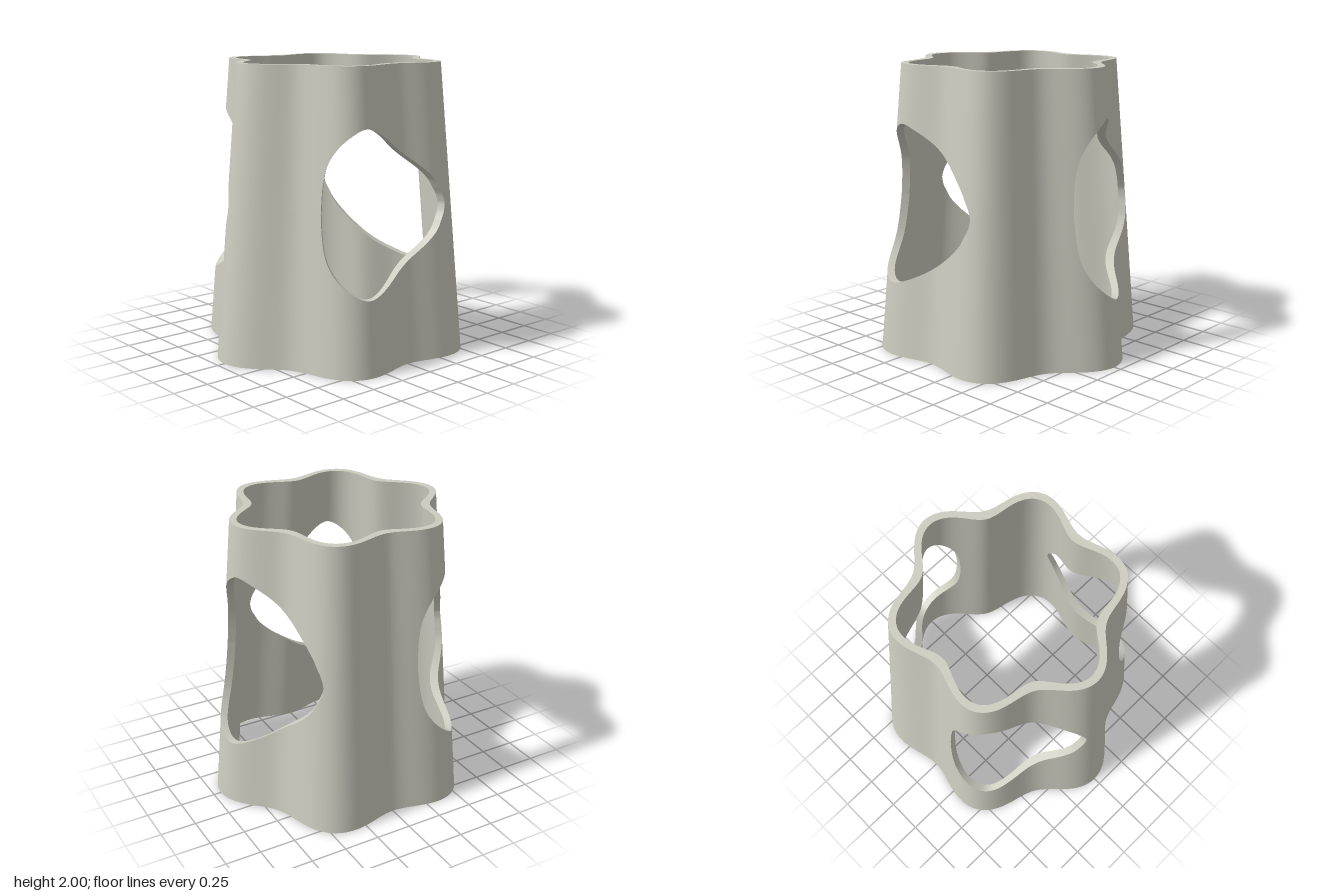
import * as THREE from 'three';
import { toCreasedNormals } from 'three/addons/utils/BufferGeometryUtils.js';

const HEIGHT = 2;
const HOLE_MID = 1.055;
const rad = THREE.MathUtils.degToRad;

// Point on the six-lobed, upward-tapering wall (angle in degrees from +x toward +z)
function wallPoint(deg, y, inner) {
  const a = rad(deg), t = y / HEIGHT, wave = Math.cos(6 * a);
  let r = THREE.MathUtils.lerp(0.871, 0.697, t) + THREE.MathUtils.lerp(0.076, 0.07, t) * wave;
  if (inner) r += -0.055 + 0.005 * wave;
  return [r * Math.cos(a), y, r * Math.sin(a)];
}

// Half-height of a window against angle, rounded at one end and pointed at the other
const windowOutline = new THREE.SplineCurve([
  [65.3, 0], [66.2, 0.06], [68, 0.115], [71.5, 0.205], [78.7, 0.31], [91.6, 0.44], [104.2, 0.55],
  [113.4, 0.605], [120, 0.57], [127.2, 0.475], [132.4, 0.345], [134.7, 0.19], [135.5, 0],
].map(([d, h]) => new THREE.Vector2(d, h)));

const windows = [
  { turn: -120, scale: 1 },
  { turn: 0, scale: 0.905 },
  { turn: 120, scale: 0.97 },
];

function buildWall() {
  const positions = [];
  const quad = (a, b, c, d) => positions.push(...a, ...b, ...c, ...a, ...c, ...d);

  // One block of wall between two columns; each column is [angle, bottom, top]
  function block([a, a0, a1], [b, b0, b1], capTop, capBottom) {
    const oA0 = wallPoint(a, a0, false), oA1 = wallPoint(a, a1, false);
    const oB0 = wallPoint(b, b0, false), oB1 = wallPoint(b, b1, false);
    const iA0 = wallPoint(a, a0, true), iA1 = wallPoint(a, a1, true);
    const iB0 = wallPoint(b, b0, true), iB1 = wallPoint(b, b1, true);
    quad(oA0, oA1, oB1, oB0);
    quad(iA0, iB0, iB1, iA1);
    if (capTop) quad(iA1, iB1, oB1, oA1);
    if (capBottom) quad(oA0, oB0, iB0, iA0);
  }

  // Wall above and below an opening of the given half-heights (zero = solid wall)
  function strip(a, ha, b, hb) {
    const open = ha > 0 || hb > 0;
    block([a, 0, HOLE_MID - ha], [b, 0, HOLE_MID - hb], open, true);
    block([a, HOLE_MID + ha, HEIGHT], [b, HOLE_MID + hb, HEIGHT], true, open);
  }

  const steps = 96, solidSteps = 40;
  for (const { turn, scale } of windows) {
    const columns = windowOutline.getPoints(steps)
      .map((p) => [p.x + turn, Math.max(0, p.y) * scale]);
    for (let i = 0; i < steps; i++) strip(...columns[i], ...columns[i + 1]);
    // Solid stretch up to the next window
    const start = columns[steps][0], end = columns[0][0] + 120;
    for (let i = 0; i < solidSteps; i++) {
      strip(THREE.MathUtils.lerp(start, end, i / solidSteps), 0,
        THREE.MathUtils.lerp(start, end, (i + 1) / solidSteps), 0);
    }
  }

  const geometry = new THREE.BufferGeometry();
  geometry.setAttribute('position', new THREE.Float32BufferAttribute(positions, 3));
  return toCreasedNormals(geometry, 0.6);
}

export function createModel() {
  const group = new THREE.Group();
  group.name = 'flutedSleeve';
  const stone = new THREE.MeshStandardMaterial({ color: 0xccccc0 });
  stone.name = 'paleStone';
  const wall = new THREE.Mesh(buildWall(), stone);
  wall.name = 'wavyWallWithWindows';
  group.add(wall);
  return group;
}
